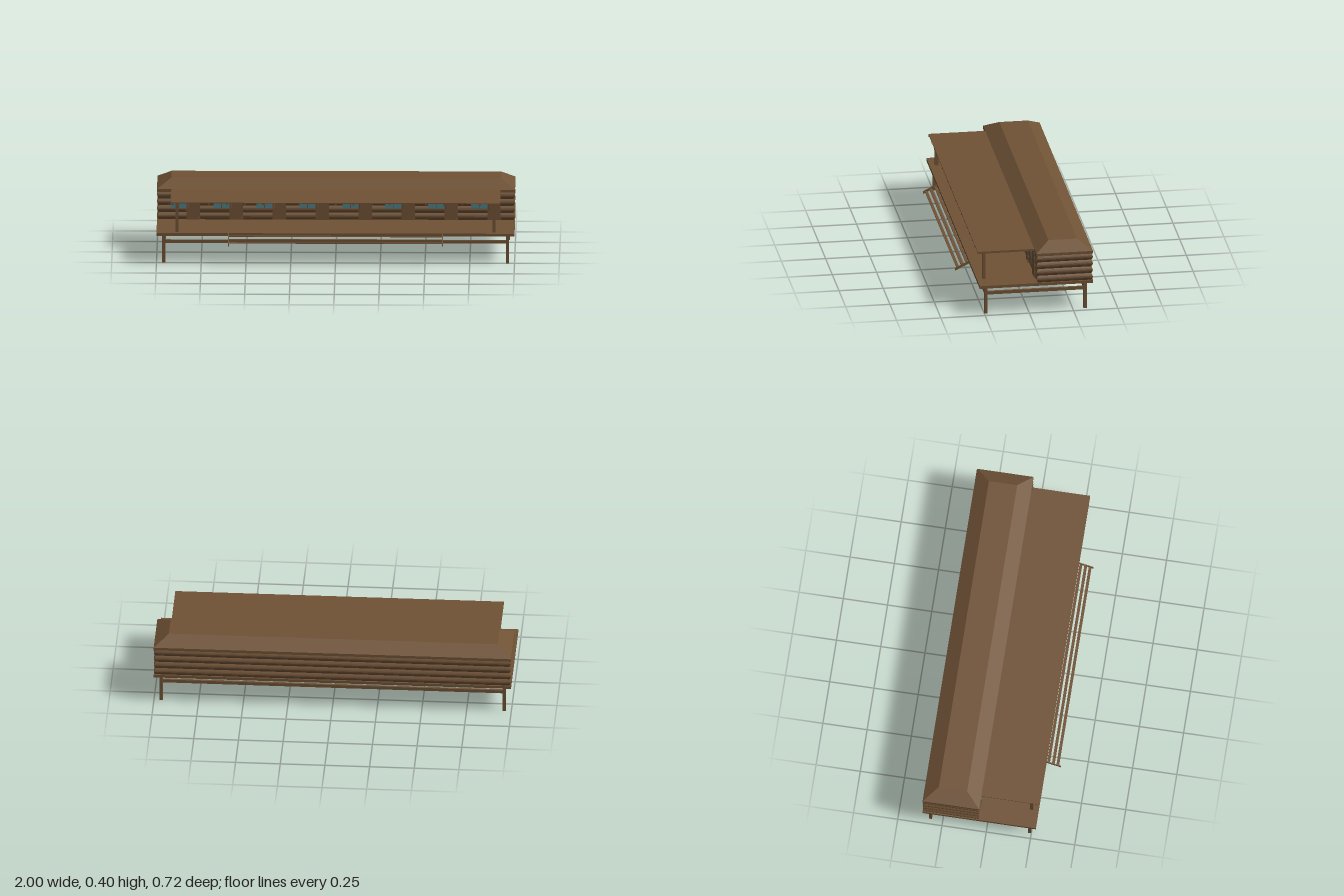
import * as THREE from 'three';

export function createModel() {
  const root = new THREE.Group();
  root.name = 'stiltLodge';
  const wood = new THREE.MeshStandardMaterial({ color: 0x6f5236 });
  wood.name = 'brown wood';
  const glass = new THREE.MeshStandardMaterial({ color: 0x4f7f86 });
  glass.name = 'teal glass';

  const add = (name, geo, mat = wood, parent = root) => {
    const m = new THREE.Mesh(geo, mat);
    m.name = name;
    parent.add(m);
    return m;
  };
  // box given by its minimum and maximum corners
  const box = (name, x0, x1, y0, y1, z0, z1, mat = wood, parent = root) => {
    const m = add(name, new THREE.BoxGeometry(x1 - x0, y1 - y0, z1 - z0), mat, parent);
    m.position.set((x0 + x1) / 2, (y0 + y1) / 2, (z0 + z1) / 2);
    return m;
  };
  // move box vertices inward by a rule of height (0..1), then facet the result
  const insetBox = (w, h, d, segments, inset) => {
    const g = new THREE.BoxGeometry(w, h, d, 1, segments, 1);
    const p = g.attributes.position;
    for (let i = 0; i < p.count; i++) {
      const s = inset(p.getY(i) / h + 0.5);
      p.setX(i, p.getX(i) - Math.sign(p.getX(i)) * s);
      p.setZ(i, p.getZ(i) - Math.sign(p.getZ(i)) * s);
    }
    const flat = g.toNonIndexed();
    flat.computeVertexNormals();
    return flat;
  };

  // Deck on four legs with a ring of rails
  box('deck', -1, 1, 0.161, 0.177, -0.36, 0.28);
  const r = 0.009;
  for (const x of [-0.96, 0.96]) {
    for (const z of [0.24, -0.32]) box('leg', x - r, x + r, 0, 0.161, z - r, z + r);
    box('sideRail', x - 0.007, x + 0.007, 0.112, 0.13, -0.311, 0.231);
  }
  for (const z of [0.24, -0.32]) box('longRail', -0.951, 0.951, 0.112, 0.13, z - 0.007, z + 0.007);

  // Log walls: four stacked rounded courses
  const walls = add('logWalls', insetBox(2, 0.16, 0.32, 24, t =>
    0.001 + 0.009 * (1 - Math.sin(Math.PI * Math.min(1, Math.max(0, (t * 4) % 1 || 0))))));
  walls.position.set(0, 0.257, -0.2);

  // Eave board and truncated hip roof
  box('eaveBoard', -1, 1, 0.336, 0.352, -0.36, -0.04);
  add('hipRoof', insetBox(2, 0.048, 0.32, 1, t => t * 0.08)).position.set(0, 0.376, -0.2);

  // Eight bays, each with a window and a door
  const handlePath = new THREE.CatmullRomCurve3([
    [-0.04, 0.24], [-0.034, 0.243], [-0.033, 0.257], [-0.034, 0.271], [-0.04, 0.275],
  ].map(([z, y]) => new THREE.Vector3(0, y, z)));
  const handleGeo = new THREE.TubeGeometry(handlePath, 12, 0.0015, 6);
  for (let i = 0; i < 8; i++) {
    const bay = new THREE.Group();
    bay.name = 'bay';
    bay.position.x = -0.88 + i * 0.24;
    root.add(bay);
    // window with crossing bars
    box('windowPane', -0.045, 0.045, 0.245, 0.312, -0.045, -0.0395, glass, bay);
    box('windowBar', -0.0025, 0.0025, 0.245, 0.312, -0.045, -0.038, wood, bay);
    box('windowBar', -0.045, 0.045, 0.276, 0.281, -0.045, -0.038, wood, bay);
    // door with handle and hinges
    box('door', 0.046, 0.12, 0.178, 0.336, -0.05, -0.039, wood, bay);
    add('doorHandle', handleGeo, wood, bay).position.x = 0.054;
    for (const y of [0.186, 0.328])
      box('hinge', 0.112, 0.122, y - 0.003, y + 0.003, -0.04, -0.035, wood, bay);
  }

  // Porch roof, rafters and posts
  box('porchRoof', -0.92, 0.92, 0.347, 0.352, -0.04, 0.28);
  for (let i = 0; i < 19; i++) {
    const x = -0.91 + i * 1.82 / 18;
    box('rafter', x - 0.005, x + 0.005, 0.338, 0.347, -0.04, 0.28);
  }
  for (const x of [-0.885, 0.885]) box('porchPost', x - r, x + r, 0.177, 0.347, 0.24 - r, 0.24 + r);

  // Wide front steps between two sloping stringers
  const side = new THREE.Shape([[0.28, 0.177], [0.28, 0.161], [0.36, 0.121], [0.36, 0.136]]
    .map(([z, y]) => new THREE.Vector2(-z, y)));
  const stringer = new THREE.ExtrudeGeometry(side, { depth: 0.005, bevelEnabled: false });
  stringer.rotateY(Math.PI / 2);
  for (const x of [-0.6, 0.595]) add('stringer', stringer).position.x = x;
  for (const [z, y] of [[0.29, 0.162], [0.317, 0.149], [0.342, 0.136]])
    box('tread', -0.597, 0.597, y - 0.002, y + 0.002, z - 0.008, z + 0.008);

  return root;
}
